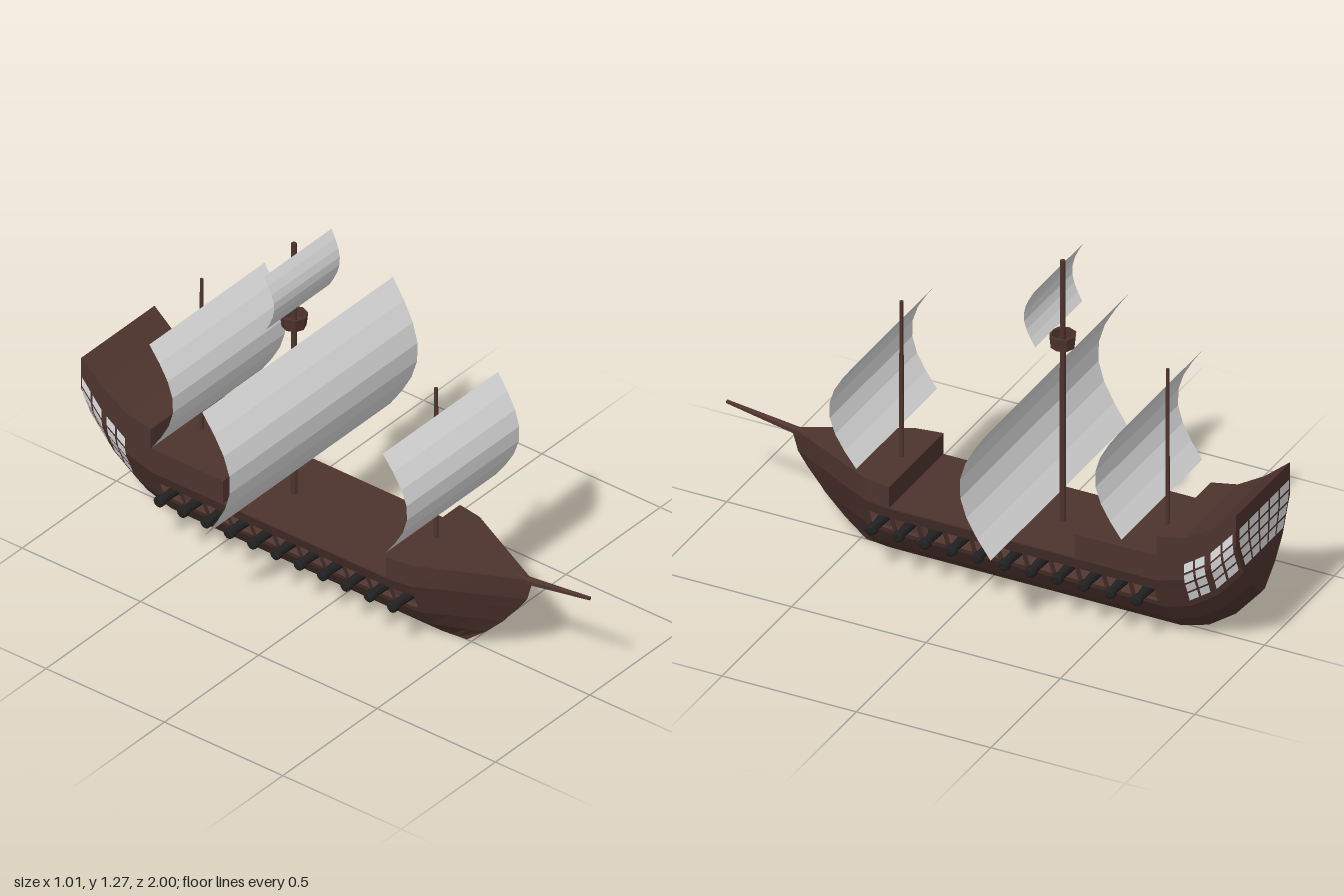
import * as THREE from 'three';

const mat = (name, color, side = THREE.FrontSide) =>
  Object.assign(new THREE.MeshStandardMaterial({ color, side, flatShading: true }), { name });

// Half cross-section of the hull: [half width, height above keel]; the last row is the rail
const ROWS = [[0.012, 0], [0.085, 0.065], [0.14, 0.14], [0.148, 0.16], [0.172, 0.22], [0.195, 0.27], [0.195, 0]];
const STEM_Z = [0.48, 0.56, 0.635, 0.65, 0.7, 0.735, 0.76];
const RAIL = 6, GUN_ROW = 3, BOW_Z = 0.39, PORT_HALF = 0.04;
const PORTS = Array.from({ length: 11 }, (_, i) => 0.345 - i * 0.0985);
// Stern stations: z, keel height, rail height
const STERN = [[-0.7, 0, 0.44], [-0.8, 0.03, 0.46], [-0.9, 0.1, 0.52], [-0.995, 0.21, 0.6]];

function makeStations() {
  const list = [];
  for (const t of [1, 0.66, 0.33, 0]) list.push({ z: BOW_Z, t, k: 0, rail: 0.355 });
  const mid = [];
  for (const c of PORTS) {
    for (const z of [c + PORT_HALF, c - PORT_HALF]) {
      mid.push({ z, t: 0, k: 0, rail: z > 0.295 ? 0.355 : z > -0.394 ? 0.275 : 0.365 });
    }
  }
  // Deck steps are pairs of stations at the same z
  for (const [z, a, b] of [[0.295, 0.355, 0.275], [-0.394, 0.275, 0.365]]) {
    mid.push({ z, t: 0, k: 0, rail: a }, { z, t: 0, k: 0, rail: b });
  }
  mid.sort((a, b) => b.z - a.z);
  list.push(...mid, { z: -0.7, t: 0, k: 0, rail: 0.365 });
  for (const [z, k, rail] of STERN) list.push({ z, t: 0, k, rail });
  return list;
}

// Point on the hull surface for a station, row and side
function hullPoint(s, row, side) {
  const [w, h] = ROWS[row];
  const taper = 1 - 0.07 * THREE.MathUtils.clamp((s.z - 0.3) / 0.09, 0, 1);
  const y = row === RAIL ? s.rail : s.k + h;
  return [side * w * taper * (1 - s.t), y, s.z + (STEM_Z[row] - BOW_Z) * s.t];
}

// Half width of the stern at a height above the keel
function widthAt(h) {
  for (let i = 1; i < RAIL; i++) {
    const [w0, h0] = ROWS[i - 1], [w1, h1] = ROWS[i];
    if (h <= h1) return w0 + (w1 - w0) * (h - h0) / (h1 - h0);
  }
  return 0.195;
}

// Keel height along the stern
function keelAt(z) {
  for (let i = 1; i < STERN.length; i++) {
    const [z0, k0] = STERN[i - 1], [z1, k1] = STERN[i];
    if (z >= z1) return k0 + (k1 - k0) * (z - z0) / (z1 - z0);
  }
  return 0.21;
}

function quadGeometry(quads) {
  const pos = [];
  for (const [a, b, c, d] of quads) pos.push(...a, ...b, ...c, ...a, ...c, ...d);
  const g = new THREE.BufferGeometry();
  g.setAttribute('position', new THREE.Float32BufferAttribute(pos, 3));
  g.computeVertexNormals();
  return g;
}

export function createModel() {
  const ship = new THREE.Group();
  ship.name = 'sailingShip';
  const wood = mat('brownWood', 0x4e342e);
  const planks = mat('hullWood', 0x4e342e, THREE.DoubleSide);
  const canvas = mat('sailCanvas', 0xe0e0e0, THREE.DoubleSide);
  const iron = mat('blackIron', 0x212121);
  const glass = mat('windowGlass', 0xe0e0e0, THREE.DoubleSide);

  const add = (name, geometry, material, x = 0, y = 0, z = 0) => {
    const m = new THREE.Mesh(geometry, material);
    m.name = name;
    m.position.set(x, y, z);
    ship.add(m);
    return m;
  };

  // Hull sides with open gun ports, keel strip, decks and transom
  const stations = makeStations();
  const sides = [], decks = [];
  for (let i = 1; i < stations.length; i++) {
    const a = stations[i - 1], b = stations[i], mid = (a.z + b.z) / 2;
    const isPort = a.t === 0 && PORTS.some(c => Math.abs(mid - c) < PORT_HALF - 0.002);
    const p = (s, r, side) => hullPoint(s, r, side);
    for (let r = 0; r < RAIL; r++) {
      if (r === GUN_ROW && isPort) continue;
      sides.push([p(a, r, 1), p(b, r, 1), p(b, r + 1, 1), p(a, r + 1, 1)]);
      sides.push([p(a, r + 1, -1), p(b, r + 1, -1), p(b, r, -1), p(a, r, -1)]);
    }
    sides.push([p(a, 0, -1), p(b, 0, -1), p(b, 0, 1), p(a, 0, 1)]);
    decks.push([p(a, RAIL, 1), p(b, RAIL, 1), p(b, RAIL, -1), p(a, RAIL, -1)]);
  }
  const last = stations[stations.length - 1], transom = [];
  for (let r = 0; r < RAIL; r++) {
    transom.push([hullPoint(last, r, 1), hullPoint(last, r, -1), hullPoint(last, r + 1, -1), hullPoint(last, r + 1, 1)]);
  }
  add('hull', quadGeometry(sides), planks);
  add('decks', quadGeometry(decks), planks);
  add('transom', quadGeometry(transom), planks);

  // Solid holds behind the end gun ports
  add('foreHold', new THREE.BoxGeometry(0.2, 0.1, 0.19), wood, 0, 0.19, 0.295);
  add('aftHold', new THREE.BoxGeometry(0.2, 0.1, 0.09), wood, 0, 0.19, -0.64);

  // Bowsprit
  const from = new THREE.Vector3(0, 0.338, 0.68), to = new THREE.Vector3(0, 0.387, 1);
  const sprit = add('bowsprit', new THREE.CylinderGeometry(0.007, 0.017, from.distanceTo(to), 6), wood);
  sprit.position.copy(from).lerp(to, 0.5);
  sprit.quaternion.setFromUnitVectors(new THREE.Vector3(0, 1, 0), to.clone().sub(from).normalize());

  // Cannons
  const barrel = new THREE.LatheGeometry(
    [[0, 0], [0.02, 0], [0.016, 0.08], [0.014, 0.105], [0.02, 0.11], [0.02, 0.13], [0.012, 0.135], [0, 0.135]]
      .map(([r, y]) => new THREE.Vector2(r, y)), 10);
  for (const z of PORTS) {
    for (const side of [1, -1]) {
      add('cannon', barrel, iron, side * 0.1, 0.193, z).rotation.z = -side * Math.PI / 2;
    }
  }

  // Stern windows: two side bays and a grid across the transom
  const panes = [], gap = 0.004;
  const H0 = 0.165, ROW_H = 0.0425;
  for (let r = 0; r < 4; r++) {
    const h0 = H0 + r * ROW_H + gap, h1 = H0 + (r + 1) * ROW_H - gap;
    for (const [start, end] of [[-0.8, -0.885], [-0.9, -0.99]]) {
      for (let c = 0; c < 2; c++) {
        const step = (end - start) / 2;
        const z0 = start + c * step - gap, z1 = start + (c + 1) * step + gap;
        for (const side of [1, -1]) {
          const p = (z, h) => [side * (widthAt(h) + 0.006), keelAt(z) + h, z];
          const q = [p(z0, h0), p(z1, h0), p(z1, h1), p(z0, h1)];
          panes.push(side > 0 ? q : q.reverse());
        }
      }
    }
    if (r < 4) {
      for (let c = 0; c < 5; c++) {
        const u0 = -1 + c * 0.4 + 0.03, u1 = -1 + (c + 1) * 0.4 - 0.03;
        const p = (u, h) => [u * (widthAt(h) - 0.012), last.k + h, -0.999];
        panes.push([p(u1, h0), p(u0, h0), p(u0, h1), p(u1, h1)]);
      }
    }
  }
  add('sternWindows', quadGeometry(panes), glass);

  // Masts: name, z, foot, top, radius
  for (const [name, z, foot, top, r] of [
    ['foreMast', 0.35, 0.34, 0.952, 0.009],
    ['mainMast', -0.25, 0.26, 1.275, 0.012],
    ['mizzenMast', -0.64, 0.35, 0.965, 0.008],
  ]) add(name, new THREE.CylinderGeometry(r * 0.8, r, top - foot, 8), wood, 0, (foot + top) / 2, z);

  // Lookout tub, open at the top
  const tub = [[0, 0], [0.042, 0], [0.047, 0.047], [0.039, 0.047], [0.037, 0.012], [0, 0.012]];
  add('crowsNest', new THREE.LatheGeometry(tub.map(([x, y]) => new THREE.Vector2(x, y)), 8), planks, 0, 0.946, -0.25);

  // Billowing sails: name, top half width, bottom half width, top, bottom, z, bulge
  for (const [name, wt, wb, top, bottom, z, bulge] of [
    ['foreSail', 0.305, 0.29, 0.86, 0.455, 0.368, 0.098],
    ['mainSail', 0.505, 0.49, 0.875, 0.375, -0.235, 0.112],
    ['topSail', 0.18, 0.168, 1.243, 1.025, -0.235, 0.04],
    ['mizzenSail', 0.305, 0.29, 0.875, 0.455, -0.618, 0.095],
  ]) {
    const g = new THREE.PlaneGeometry(2, 1, 1, 7), p = g.attributes.position;
    for (let i = 0; i < p.count; i++) {
      const t = 0.5 - p.getY(i);
      p.setXYZ(i, p.getX(i) * (wt + (wb - wt) * t), top + (bottom - top) * t, z + bulge * Math.sin(Math.PI * t));
    }
    g.computeVertexNormals();
    add(name, g, canvas);
  }
  return ship;
}
